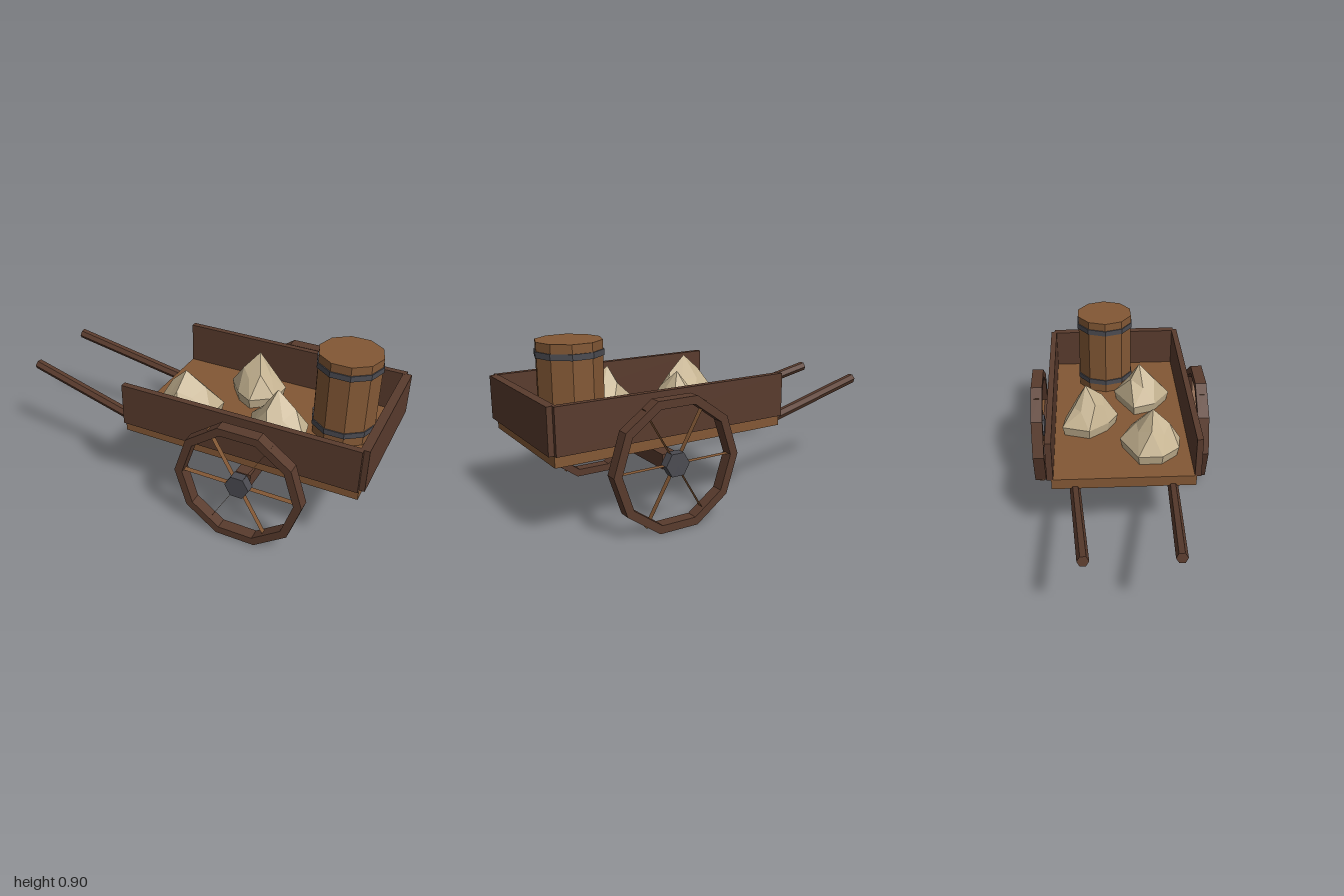
import * as THREE from 'three';

const mat = (name, color, extra = {}) => new THREE.MeshStandardMaterial({ name, color, ...extra });

// Facet a geometry so every polygon is flat
function flat(geo) {
  const g = geo.index ? geo.toNonIndexed() : geo;
  g.computeVertexNormals();
  return g;
}

function add(parent, name, geo, material, x = 0, y = 0, z = 0) {
  const m = new THREE.Mesh(geo, material);
  m.name = name;
  m.position.set(x, y, z);
  parent.add(m);
  return m;
}

// Regular polygon points with a corner on +x
const polygon = (n, r) => Array.from({ length: n }, (_, i) => {
  const a = (i / n) * Math.PI * 2;
  return new THREE.Vector2(Math.cos(a) * r, Math.sin(a) * r);
});

// Pointed faceted sack: plan outline [x, z] stacked in rings up to an apex
function sackGeometry(outline, cx, cz, apexX, apexZ) {
  const rings = [[0.445, 0.92, 0], [0.5, 1, 0], [0.6, 0.61, 0.5]];
  const n = outline.length, pos = [], idx = [];
  for (const [y, s, twist] of rings) {
    for (let i = 0; i < n; i++) {
      const a = outline[i], b = outline[(i + 1) % n];
      const x = a[0] + (b[0] - a[0]) * twist, z = a[1] + (b[1] - a[1]) * twist;
      const wobble = s < 0.9 ? (i % 2 ? 0.02 : -0.015) : 0;
      pos.push(cx + (x - cx) * s, y + wobble, cz + (z - cz) * s);
    }
  }
  pos.push(apexX, 0.705, apexZ);
  const apex = rings.length * n;
  for (let i = 0; i < n; i++) {
    const j = (i + 1) % n;
    for (let k = 0; k < rings.length - 1; k++) {
      const a = k * n + i, b = k * n + j, c = a + n, d = b + n;
      idx.push(a, c, b, b, c, d);
    }
    idx.push((rings.length - 1) * n + i, apex, (rings.length - 1) * n + j);
  }
  const g = new THREE.BufferGeometry();
  g.setAttribute('position', new THREE.Float32BufferAttribute(pos, 3));
  g.setIndex(idx);
  return flat(g);
}

export function createModel() {
  const cart = new THREE.Group();
  cart.name = 'handCart';
  const lightWood = mat('light wood', 0x835835);
  const spokeWood = mat('spoke wood', 0x835835, { side: THREE.DoubleSide });
  const darkWood = mat('dark wood', 0x593b2d);
  const iron = mat('iron', 0x4b4b51);
  const burlap = mat('burlap', 0xc6b492);

  // Bed and boards
  add(cart, 'floor', new THREE.BoxGeometry(1.27, 0.06, 0.76), lightWood, 0.335, 0.415, 0);
  add(cart, 'endBoard', new THREE.BoxGeometry(0.045, 0.228, 0.76), darkWood, 0.975, 0.557, 0);
  for (const s of [1, -1]) {
    add(cart, 'sideBoard', new THREE.BoxGeometry(1.27, 0.23, 0.033), darkWood, 0.335, 0.557, s * 0.386);
  }

  // Axle
  add(cart, 'axle', new THREE.BoxGeometry(0.08, 0.075, 0.836), darkWood, 0.4, 0.327, 0);

  // Wheels: ten-sided rim, flat spokes, six-sided hub
  const rimShape = new THREE.Shape(polygon(10, 0.343));
  rimShape.holes.push(new THREE.Path(polygon(10, 0.3)));
  const rimGeo = new THREE.ExtrudeGeometry(rimShape, { depth: 0.064, bevelEnabled: false });
  rimGeo.translate(0, 0, -0.032);
  const hubGeo = flat(new THREE.CylinderGeometry(0.065, 0.065, 0.05, 6).rotateY(Math.PI / 2).rotateX(Math.PI / 2));
  const spokeGeo = new THREE.PlaneGeometry(0.335, 0.03).rotateX(Math.PI / 2).translate(0.1675, 0, 0);
  for (const s of [1, -1]) {
    const wheel = new THREE.Group();
    wheel.name = s > 0 ? 'frontWheel' : 'backWheel';
    wheel.position.set(0.4, 0.327, s * 0.47);
    add(wheel, 'rim', rimGeo, darkWood);
    add(wheel, 'hub', hubGeo, iron);
    for (let i = 0; i < 6; i++) {
      add(wheel, 'spoke', spokeGeo, spokeWood).rotation.z = (i * Math.PI) / 3;
    }
    cart.add(wheel);
  }

  // Handles, converging slightly away from the bed
  for (const s of [1, -1]) {
    const a = new THREE.Vector3(-0.275, 0.367, s * 0.259);
    const b = new THREE.Vector3(-0.994, 0.527, s * 0.217);
    const dir = b.clone().sub(a);
    const geo = flat(new THREE.CylinderGeometry(0.028, 0.028, dir.length(), 6));
    const handle = add(cart, 'handle', geo, darkWood);
    handle.position.copy(a).add(b).multiplyScalar(0.5);
    handle.quaternion.setFromUnitVectors(new THREE.Vector3(0, 1, 0), dir.normalize());
  }

  // Barrel with two hoops
  const barrel = new THREE.Group();
  barrel.name = 'barrel';
  barrel.position.set(0.745, 0, -0.067);
  barrel.rotation.y = Math.PI / 2;
  add(barrel, 'staves', flat(new THREE.CylinderGeometry(0.165, 0.165, 0.455, 10)), lightWood, 0, 0.6725, 0);
  for (const y of [0.84, 0.51]) {
    add(barrel, 'hoop', flat(new THREE.CylinderGeometry(0.171, 0.171, 0.03, 10)), iron, 0, y, 0);
  }
  cart.add(barrel);

  // Sacks, outlines listed clockwise from above
  const sacks = [
    [[[0.107, -0.326], [0.209, -0.31], [0.358, -0.23], [0.348, -0.096], [0.235, -0.01], [0.144, -0.064], [0.059, -0.176]], 0.205, -0.17, 0.215, -0.19],
    [[[-0.02, 0.025], [0.123, 0.064], [0.112, 0.203], [-0.02, 0.32], [-0.118, 0.305], [-0.2, 0.21], [-0.2, 0.08]], -0.045, 0.165, -0.05, 0.165],
    [[[0.497, 0.027], [0.6, 0.06], [0.626, 0.2], [0.47, 0.305], [0.337, 0.21], [0.294, 0.086]], 0.46, 0.14, 0.45, 0.125],
  ];
  // Pull the near-centre corners out to the full footprint
  sacks[1][0][0][1] = -0.01;
  sacks[2][0][0][1] = -0.02;
  for (const sack of sacks) add(cart, 'sack', sackGeometry(...sack), burlap);

  return cart;
}
